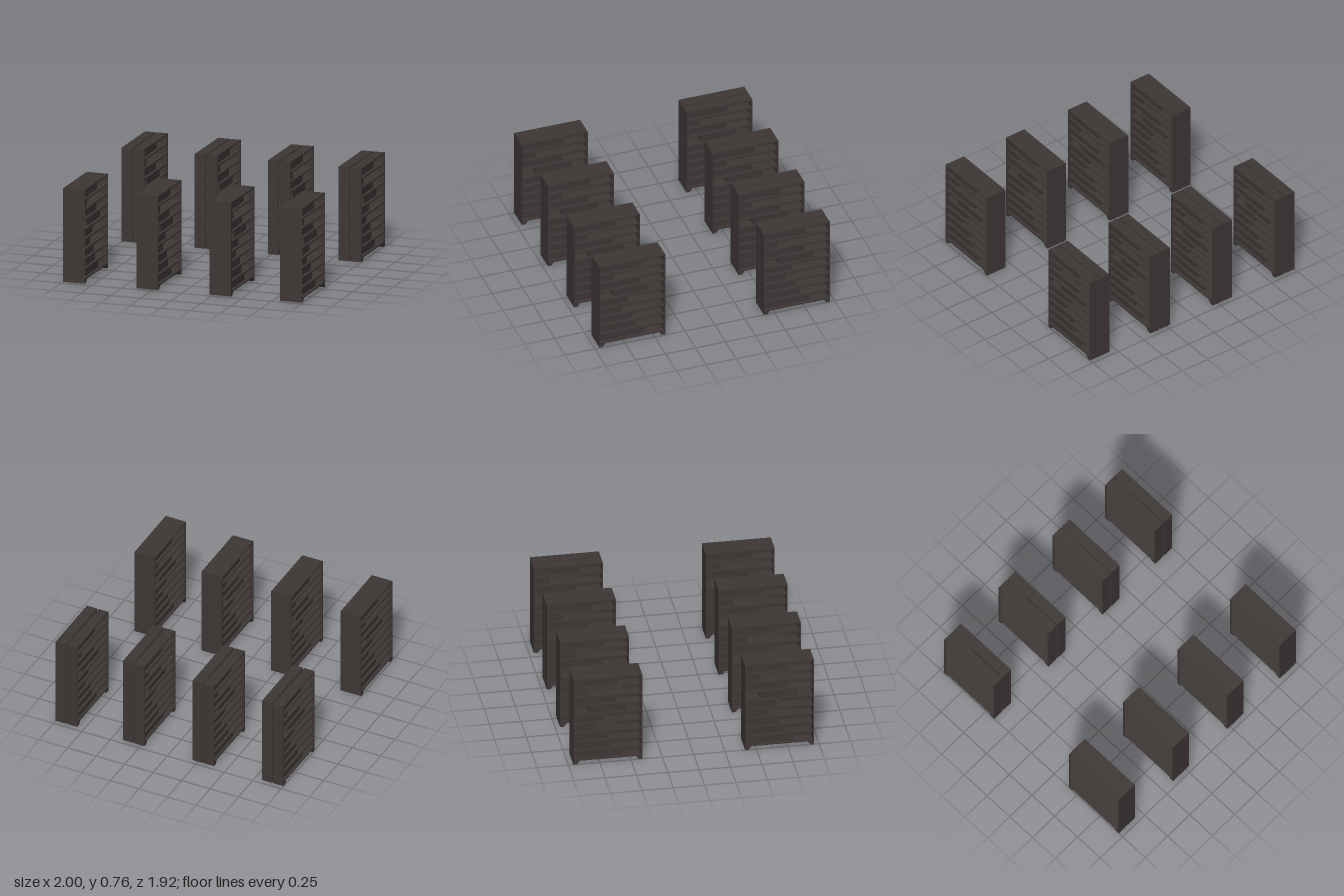
import * as THREE from 'three';

const DEPTH = 0.09;   // one shelf, back to open face
const LENGTH = 0.55;
const HEIGHT = 0.76;
const BASE = 0.03;    // underside of the lowest board
const ROWS = 9;
const BOARD = 0.01;
const PITCH = (HEIGHT - BASE - BOARD) / ROWS;

// Filled stretch of each row, as fractions of the length from the +z end
const FILL = [
  [0, 0.715], [0, 0.565], [0, 0.51], [0, 0.335], [0, 0.45],
  [0.22, 0.78], [0, 0.63], [0, 0.215], [0, 0.66],
];

const wood = new THREE.MeshStandardMaterial({ color: 0x3d3635 });
wood.name = 'dark wood';

function addBox(parent, name, size, position) {
  const mesh = new THREE.Mesh(new THREE.BoxGeometry(...size), wood);
  mesh.name = name;
  mesh.position.set(...position);
  parent.add(mesh);
}

// Tapered foot running the full depth, at the end given by side
function addFoot(parent, side) {
  const end = LENGTH / 2;
  const shape = new THREE.Shape([
    new THREE.Vector2(side * end, 0),
    new THREE.Vector2(side * end, BASE),
    new THREE.Vector2(side * (end - 0.05), BASE),
    new THREE.Vector2(side * (end - 0.03), 0),
  ]);
  const geometry = new THREE.ExtrudeGeometry(shape, { depth: DEPTH, bevelEnabled: false });
  geometry.rotateY(Math.PI / 2);
  const foot = new THREE.Mesh(geometry, wood);
  foot.name = 'foot';
  parent.add(foot);
}

// One shelf with its back at x = 0, opening toward +x
function makeShelf() {
  const shelf = new THREE.Group();
  shelf.name = 'shelf';
  const inner = LENGTH - 2 * BOARD;

  for (const side of [-1, 1]) {
    addBox(shelf, 'sidePanel', [DEPTH, HEIGHT - BASE, BOARD],
      [DEPTH / 2, (HEIGHT + BASE) / 2, side * (LENGTH - BOARD) / 2]);
    addFoot(shelf, side);
  }
  for (let i = 0; i <= ROWS; i++) {
    addBox(shelf, 'shelfBoard', [DEPTH, BOARD, inner],
      [DEPTH / 2, BASE + BOARD / 2 + i * PITCH, 0]);
  }
  // Solid rows of contents, set back from the open face
  const blockDepth = DEPTH - 0.025;
  FILL.forEach(([from, to], i) => {
    addBox(shelf, 'contents', [blockDepth, PITCH - BOARD, (to - from) * inner],
      [blockDepth / 2, BASE + BOARD / 2 + (i + 0.5) * PITCH, inner * (0.5 - (from + to) / 2)]);
  });
  return shelf;
}

// Two shelves back to back, with an optional gap between them
function makeBookcase(name, gap) {
  const bookcase = new THREE.Group();
  bookcase.name = name;
  const front = makeShelf();
  front.position.x = gap / 2;
  const back = makeShelf();
  back.rotation.y = Math.PI;
  back.position.x = -gap / 2;
  bookcase.add(front, back);
  return bookcase;
}

export function createModel() {
  const model = new THREE.Group();
  model.name = 'bookcases';
  const gap = 0.01;
  for (const left of [-1, -0.39, 0.22, 0.81]) {
    const joined = makeBookcase('joinedBookcase', 0);
    joined.position.set(left + DEPTH, 0, 0.685);
    const split = makeBookcase('splitBookcase', gap);
    split.position.set(left + DEPTH + gap / 2, 0, -0.685);
    model.add(joined, split);
  }
  return model;
}
